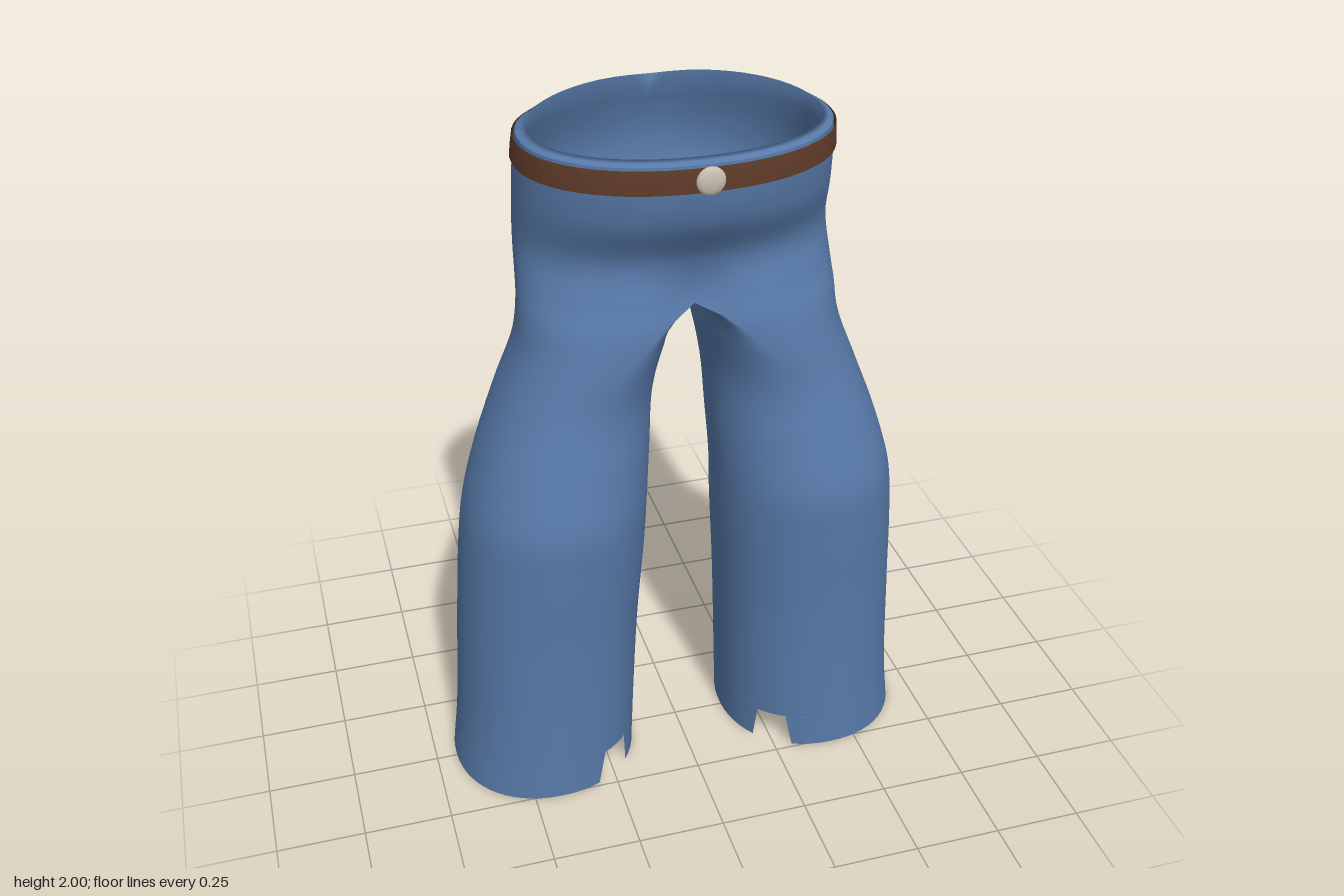
import * as THREE from 'three';
import { mergeGeometries, mergeVertices } from 'three/addons/utils/BufferGeometryUtils.js';

// Half cross-sections: y, inner x, outer x, centre x, front z, back z, front cleft, back cleft
const SECTIONS = [
  [0.00, 0.15, 0.69, 0.42, 0.26, -0.29, 0, 0],
  [0.15, 0.145, 0.672, 0.41, 0.262, -0.285, 0, 0],
  [0.50, 0.13, 0.65, 0.39, 0.272, -0.265, 0, 0],
  [0.80, 0.11, 0.628, 0.37, 0.292, -0.242, 0, 0],
  [0.92, 0.105, 0.612, 0.358, 0.297, -0.233, 0, 0],
  [1.08, 0.093, 0.566, 0.33, 0.27, -0.225, 0, 0],
  [1.25, 0.08, 0.502, 0.28, 0.24, -0.217, 0, 0],
  [1.40, 0.052, 0.445, 0.18, 0.24, -0.211, 0.05, 0.05],
  [1.51, 0.026, 0.43, 0.05, 0.238, -0.212, 0.2, 0.25],
  [1.53, 0, 0.428, 0, 0.236, -0.222, 0.24, 0.3],
  [1.66, 0, 0.42, 0, 0.212, -0.295, 0.07, 0.2],
  [1.79, 0, 0.417, 0, 0.275, -0.33, 0.01, 0.12],
  [1.92, 0, 0.41, 0, 0.298, -0.305, 0, 0.05],
  [1.96, 0, 0.405, 0, 0.296, -0.29, 0, 0.04],
];
const profile = new THREE.CubicInterpolant(
  SECTIONS.map(s => s[0]), SECTIONS.flatMap(s => s.slice(1)), 7);
const CROTCH = 1.53, WAIST = 1.955, NOTCH = 0.11;
const rad = THREE.MathUtils.degToRad;
const soft = v => Math.sign(v) * Math.pow(Math.abs(v), 0.93);

// Point on the cloth at a height and angle (0 = outside, 90 = front, 180 = inside)
function cloth(y, deg, offset = 0) {
  const [xi, xo, cx, zf, zb, kf, kb] = profile.evaluate(y);
  const c = Math.max(0, cx), inner = y >= CROTCH ? 0 : Math.max(0, xi);
  const ca = soft(Math.cos(rad(deg))), sa = soft(Math.sin(rad(deg)));
  const x = c + ca * (ca > 0 ? xo + offset - c : Math.max(0, c - inner));
  const mid = (zf + zb) / 2, half = (zf - zb) / 2 + offset;
  const cleft = Math.max(0, sa > 0 ? kf : kb) * Math.abs(sa) * Math.exp(-((x / 0.09) ** 2));
  return [x, y, mid + half * sa * (1 - cleft)];
}

// Surface grid of rows by columns; side -1 gives the mirrored half
function grid(rows, cols, point, side) {
  const pos = [], idx = [];
  for (let i = 0; i <= rows; i++) {
    for (let j = 0; j <= cols; j++) {
      const [x, y, z] = point(i, j / cols);
      pos.push(side * x, y, z);
    }
  }
  for (let i = 0; i < rows; i++) {
    for (let j = 0; j < cols; j++) {
      const a = i * (cols + 1) + j, b = a + 1, u = a + cols + 1, v = u + 1;
      if (side > 0) idx.push(a, u, b, u, v, b);
      else idx.push(a, b, u, u, b, v);
    }
  }
  const g = new THREE.BufferGeometry();
  g.setAttribute('position', new THREE.Float32BufferAttribute(pos, 3));
  g.setIndex(idx);
  return g;
}
const bothSides = (rows, cols, point) => [1, -1].map(s => grid(rows, cols, point, s));

function weld(parts) {
  const g = mergeVertices(mergeGeometries(parts), 1e-4);
  g.computeVertexNormals();
  return g;
}

export function createModel() {
  const group = new THREE.Group();
  const denim = new THREE.MeshStandardMaterial({ color: 0x587aaa, side: THREE.DoubleSide });
  denim.name = 'denim blue';
  const leather = new THREE.MeshStandardMaterial({ color: 0x633e2b, side: THREE.DoubleSide });
  leather.name = 'leather brown';
  const metal = new THREE.MeshStandardMaterial({ color: 0xc6c0ae });
  metal.name = 'pale metal';
  const add = (name, geometry, material) => {
    const mesh = new THREE.Mesh(geometry, material);
    mesh.name = name;
    group.add(mesh);
    return mesh;
  };
  const lerp = THREE.MathUtils.lerp;

  // Legs and seat, welded along the middle seam
  const legs = bothSides(48, 56, (i, t) => cloth(lerp(NOTCH, CROTCH, i / 48), -90 + 360 * t));
  const seat = bothSides(18, 28, (i, t) => cloth(lerp(CROTCH, WAIST, i / 18), -90 + 180 * t));
  add('legsAndSeat', weld([...legs, ...seat]), denim);

  // Hems, each with a notch at the inner front
  const hems = bothSides(3, 56, (i, t) => {
    const gap = lerp(14, 10, i / 3);
    return cloth(NOTCH * i / 3, lerp(128 + gap, 488 - gap, t));
  });
  add('notchedHems', weld(hems), denim);

  // Waist rim, higher at the back, with a lining running down inside
  const rimPoint = (i, t) => {
    const deg = -90 + 180 * t;
    const [x, , z] = cloth(WAIST, deg);
    if (i === 0) return [x, WAIST, z];
    if (i < 3) {
      const back = Math.max(0, -Math.sin(rad(deg)));
      const k = i / 2;
      const top = lerp(WAIST, 1.967 + 0.033 * back ** 1.5, k);
      return [x * lerp(1, 0.94, k), top, z * lerp(1, z < 0 ? 0.82 : 0.92, k)];
    }
    const y = lerp(1.92, 1.68, (i - 3) / 4);
    return cloth(y, deg, lerp(-0.03, -0.001, (i - 3) / 4));
  };
  add('waistRim', weld(bothSides(7, 28, rimPoint)), denim);

  // Belt and round buckle
  const belt = bothSides(2, 28, (i, t) => cloth(lerp(1.885, 1.95, i / 2), -90 + 180 * t, 0.007));
  add('belt', weld(belt), leather);
  const buckle = add('buckle', new THREE.SphereGeometry(0.037, 24, 16), metal);
  buckle.scale.z = 0.35;
  buckle.position.set(0, 1.917, 0.309);

  return group;
}
